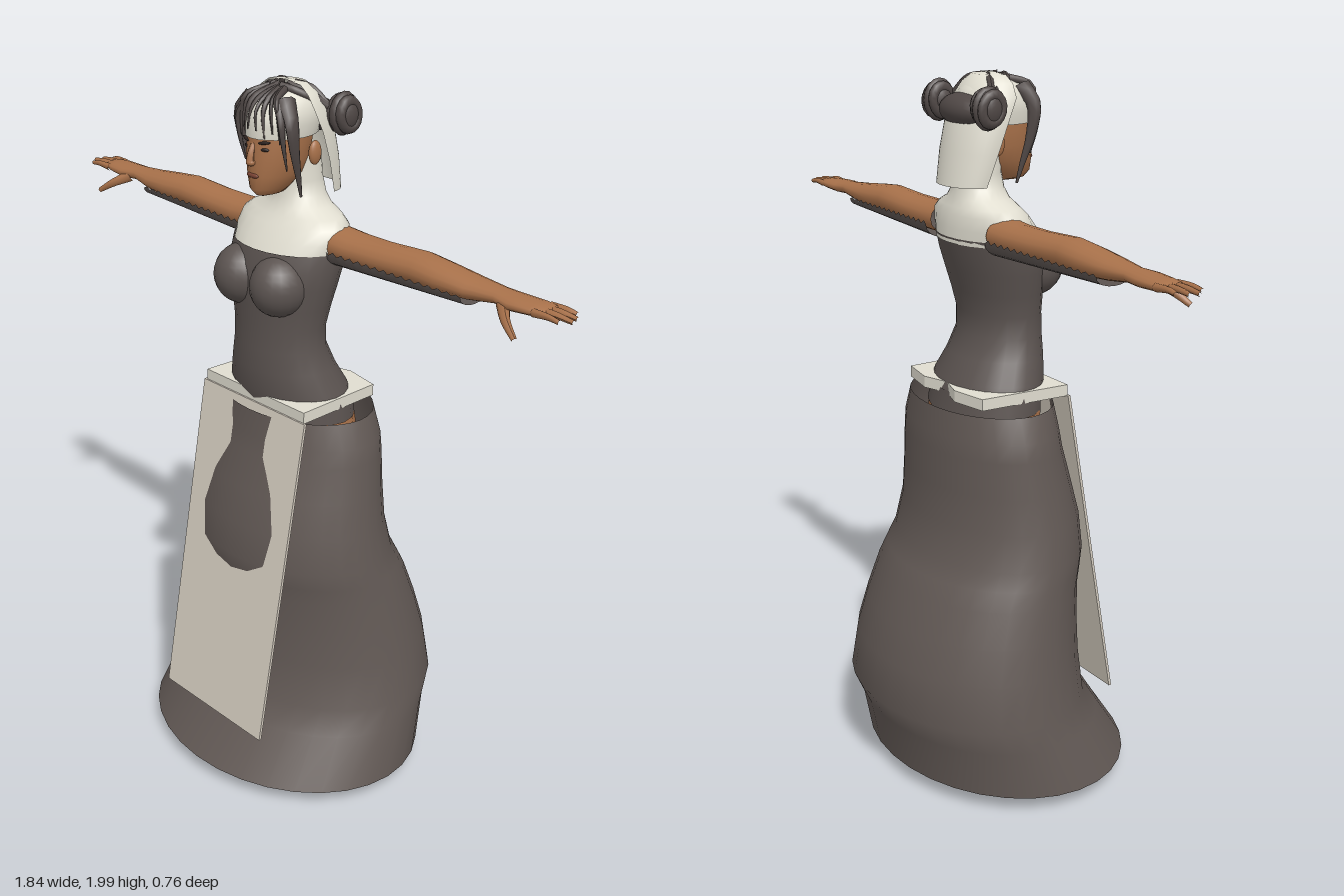
import * as THREE from 'three';

const mat = (name, color, side = THREE.FrontSide) => {
  const m = new THREE.MeshStandardMaterial({ color, side });
  m.name = name;
  return m;
};

// Skin stretched over elliptical rows [y, halfWidth, zFront, zBack, xCentre]; angle 0 is the front.
function loft(rows, n = 20, a0 = 0, a1 = Math.PI * 2, jag = 0) {
  const closed = a1 - a0 > 6.28, cols = closed ? n : n + 1, pos = [], idx = [];
  rows.forEach(([y, rx, zf, zb, xc = 0], i) => {
    for (let j = 0; j < cols; j++) {
      let a = a0 + (a1 - a0) * j / n;
      if (jag && i % 2) a += j === 0 ? -jag : j === n ? jag : 0;
      pos.push(xc + rx * Math.sin(a), y, (zf + zb) / 2 + (zf - zb) / 2 * Math.cos(a));
    }
  });
  for (let i = 0; i < rows.length - 1; i++) for (let j = 0; j < n; j++) {
    const k = (j + 1) % cols, a = i * cols + j, b = i * cols + k, c = a + cols, d = b + cols;
    idx.push(a, b, d, a, d, c);
  }
  const g = new THREE.BufferGeometry();
  g.setAttribute('position', new THREE.Float32BufferAttribute(pos, 3));
  g.setIndex(idx);
  g.computeVertexNormals();
  return g;
}

// Rod that narrows from one radius to another along a curve through the points.
function lock(points, r0, r1, flat = 1) {
  const curve = new THREE.CatmullRomCurve3(points.map(p => new THREE.Vector3(...p)));
  const g = new THREE.TubeGeometry(curve, 10, 1, 7), p = g.attributes.position;
  for (let i = 0; i < p.count; i++) {
    const t = Math.floor(i / 8) / 10, c = curve.getPointAt(t), r = r0 + (r1 - r0) * t;
    p.setXYZ(i, c.x + (p.getX(i) - c.x) * r, c.y + (p.getY(i) - c.y) * r, c.z + (p.getZ(i) - c.z) * r * flat);
  }
  g.computeVertexNormals();
  return g;
}

export function createModel() {
  const root = new THREE.Group();
  const skin = mat('skin', 0xa8714a);
  const cloth = mat('skirtCloth', 0x625955, THREE.DoubleSide);
  const bodiceMat = mat('bodiceCloth', 0x5c5451, THREE.DoubleSide);
  const hair = mat('hair', 0x504846);
  const white = mat('whiteLinen', 0xe0ddd0, THREE.DoubleSide);
  const cream = mat('apronLinen', 0xd6cec1);
  const dark = mat('eyeDark', 0x2a211e);
  const lip = mat('lips', 0x7d4636);

  const add = (parent, name, geo, m, p = [0, 0, 0], s = [1, 1, 1], r = [0, 0, 0]) => {
    const o = new THREE.Mesh(geo, m);
    o.name = name;
    o.position.set(...p);
    o.scale.set(...s);
    o.rotation.set(...r);
    parent.add(o);
    return o;
  };
  const ball = new THREE.SphereGeometry(1, 20, 14);

  // Open bell skirt, fuller behind, its front swelling through the apron
  add(root, 'skirt', loft([
    [0.06, 0.445, 0.38, -0.32], [0.2, 0.421, 0.285, -0.348], [0.27, 0.409, 0.24, -0.38], [0.4, 0.387, 0.225, -0.36],
    [0.5, 0.37, 0.222, -0.328], [0.6, 0.353, 0.225, -0.288], [0.65, 0.345, 0.234, -0.26], [0.7, 0.336, 0.242, -0.232],
    [0.8, 0.32, 0.231, -0.207], [0.9, 0.303, 0.205, -0.203], [1.0, 0.29, 0.176, -0.2], [1.05, 0.283, 0.167, -0.197],
    [1.12, 0.255, 0.158, -0.188]], 32), cloth);

  // Sloping apron panel
  const apron = new THREE.BoxGeometry(0.415, 0.94, 0.008);
  apron.translate(0, 0.67, 0);
  const ap = apron.attributes.position;
  for (let i = 0; i < ap.count; i++) ap.setZ(i, ap.getZ(i) + 0.148 + (1.1 - ap.getY(i)) * 0.182);
  apron.computeVertexNormals();
  add(root, 'apron', apron, cream);

  // Angular waistband, notched at the back
  const band = new THREE.Shape([[-0.2, -0.14], [0.2, -0.14], [0.19, 0.13], [0.08, 0.15], [0, 0.125], [-0.08, 0.15], [-0.19, 0.13]]
    .map(p => new THREE.Vector2(...p)));
  const bandGeo = new THREE.ExtrudeGeometry(band, { depth: 0.032, bevelEnabled: false });
  bandGeo.rotateX(-Math.PI / 2);
  add(root, 'waistband', bandGeo, white, [0, 1.138, 0]);

  // Hips and bodice
  add(root, 'hips', loft([[0.92, 0, 0, -0.02], [0.93, 0.2, 0.12, -0.13], [1.05, 0.215, 0.13, -0.14], [1.1, 0.205, 0.125, -0.135]], 20), skin);
  add(root, 'bodiceHem', loft([[1.09, 0.2, 0.135, -0.145], [1.15, 0.195, 0.135, -0.135]], 20), bodiceMat);
  add(root, 'bodice', loft([
    [1.14, 0.195, 0.138, -0.135], [1.18, 0.185, 0.148, -0.125], [1.24, 0.162, 0.152, -0.09], [1.3, 0.145, 0.15, -0.064],
    [1.36, 0.144, 0.148, -0.062], [1.42, 0.155, 0.15, -0.077], [1.48, 0.168, 0.152, -0.095], [1.53, 0.176, 0.15, -0.11],
    [1.575, 0.176, 0.135, -0.12]], 24), bodiceMat);
  for (const s of [1, -1]) add(root, 'bust', ball, bodiceMat, [s * 0.072, 1.485, 0.11], [0.077, 0.083, 0.083]);

  // White yoke rising into the neck
  add(root, 'yoke', loft([
    [1.56, 0.172, 0.138, -0.119], [1.6, 0.18, 0.115, -0.118], [1.635, 0.178, 0.085, -0.113], [1.655, 0.15, 0.068, -0.106],
    [1.675, 0.1, 0.055, -0.1], [1.7, 0.075, 0.046, -0.095], [1.74, 0.063, 0.04, -0.09], [1.82, 0.062, 0.04, -0.08]], 24), white);

  // Head
  const head = new THREE.Group();
  head.name = 'head';
  root.add(head);
  add(head, 'face', loft([
    [1.71, 0, 0.1, 0.06], [1.717, 0.024, 0.122, 0.03], [1.735, 0.042, 0.137, 0.01], [1.77, 0.06, 0.139, -0.03],
    [1.81, 0.071, 0.139, -0.045], [1.85, 0.075, 0.136, -0.05], [1.9, 0.077, 0.132, -0.06]], 24), skin);
  add(head, 'nose', lock([[0, 1.855, 0.131], [0, 1.83, 0.141], [0, 1.808, 0.144]], 0.007, 0.012), skin);
  add(head, 'noseTip', ball, skin, [0, 1.807, 0.142], [0.013, 0.01, 0.012]);
  add(head, 'mouth', ball, lip, [0, 1.772, 0.136], [0.022, 0.007, 0.006]);
  add(head, 'scalpCloth', loft([
    [1.868, 0.084, 0.138, -0.07], [1.9, 0.09, 0.138, -0.08], [1.93, 0.09, 0.132, -0.082], [1.96, 0.077, 0.108, -0.07],
    [1.98, 0.05, 0.072, -0.045], [1.988, 0, 0.02, 0.0]], 24), white);

  // Back veil: half tube leaning backwards, open at the front
  add(head, 'veil', loft([
    [1.712, 0.1, 0.016, -0.132], [1.8, 0.112, 0.06, -0.12], [1.88, 0.116, 0.1, -0.103], [1.94, 0.112, 0.13, -0.08],
    [1.975, 0.09, 0.11, -0.055], [1.995, 0.06, 0.08, -0.03], [2.0, 0, 0.03, 0.01]], 20, Math.PI / 2, Math.PI * 1.5), white);
  add(head, 'backHair', ball, hair, [0, 1.905, -0.06], [0.1, 0.046, 0.058]);

  for (const s of [1, -1]) {
    const side = new THREE.Group();
    side.name = s > 0 ? 'leftHeadSide' : 'rightHeadSide';
    side.scale.x = s;
    head.add(side);
    add(side, 'eye', ball, dark, [0.032, 1.842, 0.124], [0.014, 0.005, 0.005], [0, 0.3, 0]);
    add(side, 'eyebrow', ball, dark, [0.034, 1.86, 0.126], [0.019, 0.004, 0.005], [0, 0.3, 0.15]);
    add(side, 'ear', ball, skin, [0.077, 1.82, -0.01], [0.012, 0.032, 0.02]);
    // Coiled bun
    add(side, 'bun', ball, hair, [0.122, 1.92, -0.068], [0.036, 0.052, 0.04]);
    for (let i = 0; i < 3; i++)
      add(side, 'bunCoil', new THREE.TorusGeometry(0.034 - Math.abs(i - 1) * 0.005, 0.014, 8, 16), hair,
        [0.122 + (i - 1) * 0.018, 1.92, -0.068], [1, 1.2, 1], [0, Math.PI / 2, (i - 1) * 0.25]);
    // Long lock beside the face
    add(side, 'sideLock', lock([[0.06, 1.965, 0.075], [0.096, 1.92, 0.09], [0.098, 1.84, 0.08], [0.09, 1.77, 0.06], [0.084, 1.715, 0.045]], 0.02, 0.003, 1.3), hair);
    add(side, 'thinLock', lock([[0.05, 1.965, 0.09], [0.08, 1.92, 0.11], [0.084, 1.86, 0.106], [0.08, 1.79, 0.09]], 0.014, 0.002), hair);
    // Fringe strands sweeping from the crown
    [[0.01, 1.89], [0.03, 1.87], [0.05, 1.885], [0.068, 1.86]].forEach(([x, y], i) =>
      add(side, 'fringeStrand', lock([[x * 0.3, 1.987, 0.035], [x * 0.85, 1.965, 0.107], [x, 1.935, 0.137 - x * 0.4],
        [x + 0.006, y, 0.142 - x * 0.5]], 0.009 + (i % 2) * 0.003, 0.002), hair));
    // Strands running back to the bun
    for (let i = 0; i < 3; i++)
      add(side, 'crownStrand', lock([[0.012, 1.99, 0.05 - i * 0.025], [0.055, 1.98, 0.03 - i * 0.025], [0.1, 1.935, -0.04]], 0.011, 0.009), hair);
  }

  // Arms and legs, mirrored
  for (const s of [1, -1]) {
    const limbs = new THREE.Group();
    limbs.name = s > 0 ? 'leftLimbs' : 'rightLimbs';
    limbs.scale.x = s;
    root.add(limbs);
    const arm = loft([
      [0.14, 0.045, 0.035, -0.088, -1.595], [0.22, 0.042, 0.032, -0.088, -1.592], [0.32, 0.04, 0.028, -0.085, -1.594],
      [0.45, 0.041, 0.025, -0.085, -1.6], [0.53, 0.037, 0.025, -0.084, -1.596], [0.62, 0.028, 0.018, -0.08, -1.594],
      [0.7, 0.019, 0.0, -0.07, -1.596], [0.75, 0.019, 0.012, -0.076, -1.594], [0.81, 0.016, 0.005, -0.078, -1.595],
      [0.845, 0.011, -0.003, -0.076, -1.596], [0.85, 0, -0.03, -0.05, -1.596]], 16);
    arm.rotateZ(-Math.PI / 2);
    add(limbs, 'arm', arm, skin);
    // Ragged sleeve lying under the arm
    const rows = [];
    for (let i = 0; i <= 32; i++) {
      const x = 0.15 + i * 0.0147, t = i / 32;
      rows.push([x, 0.043 - 0.016 * t, 0.038 - 0.016 * t, -0.098 + 0.012 * t, -1.58]);
    }
    const sleeve = loft(rows, 10, 0, Math.PI, 0.22);
    sleeve.rotateZ(-Math.PI / 2);
    add(limbs, 'sleeve', sleeve, bodiceMat);
    for (let i = 0; i < 4; i++) {
      const z = -0.068 + i * 0.021, end = [0.895, 0.915, 0.922, 0.9][i];
      add(limbs, 'finger', lock([[0.82, 1.595, z], [0.87, 1.598, z - 0.002 + i * 0.002], [end, 1.594, z - 0.004 + i * 0.003]], 0.011, 0.006), skin);
    }
    add(limbs, 'thumb', lock([[0.725, 1.588, -0.01], [0.765, 1.565, 0.025], [0.81, 1.536, 0.045]], 0.017, 0.007), skin);

    add(limbs, 'leg', loft([
      [0.04, 0.032, -0.02, -0.09, 0.135], [0.12, 0.033, -0.02, -0.09, 0.132], [0.3, 0.05, 0.0, -0.11, 0.125],
      [0.5, 0.055, 0.03, -0.075, 0.12], [0.75, 0.08, 0.08, -0.09, 0.11], [0.95, 0.095, 0.1, -0.11, 0.105]], 14), skin);
    add(limbs, 'shoe', loft([
      [0.01, 0, 0.04, 0.02, 0.138], [0.0105, 0.06, 0.168, -0.105, 0.138], [0.028, 0.066, 0.175, -0.11, 0.138],
      [0.048, 0.06, 0.15, -0.108, 0.138], [0.07, 0.046, 0.07, -0.105, 0.137], [0.095, 0.038, 0.0, -0.1, 0.136]], 18), bodiceMat);
  }
  return root;
}
